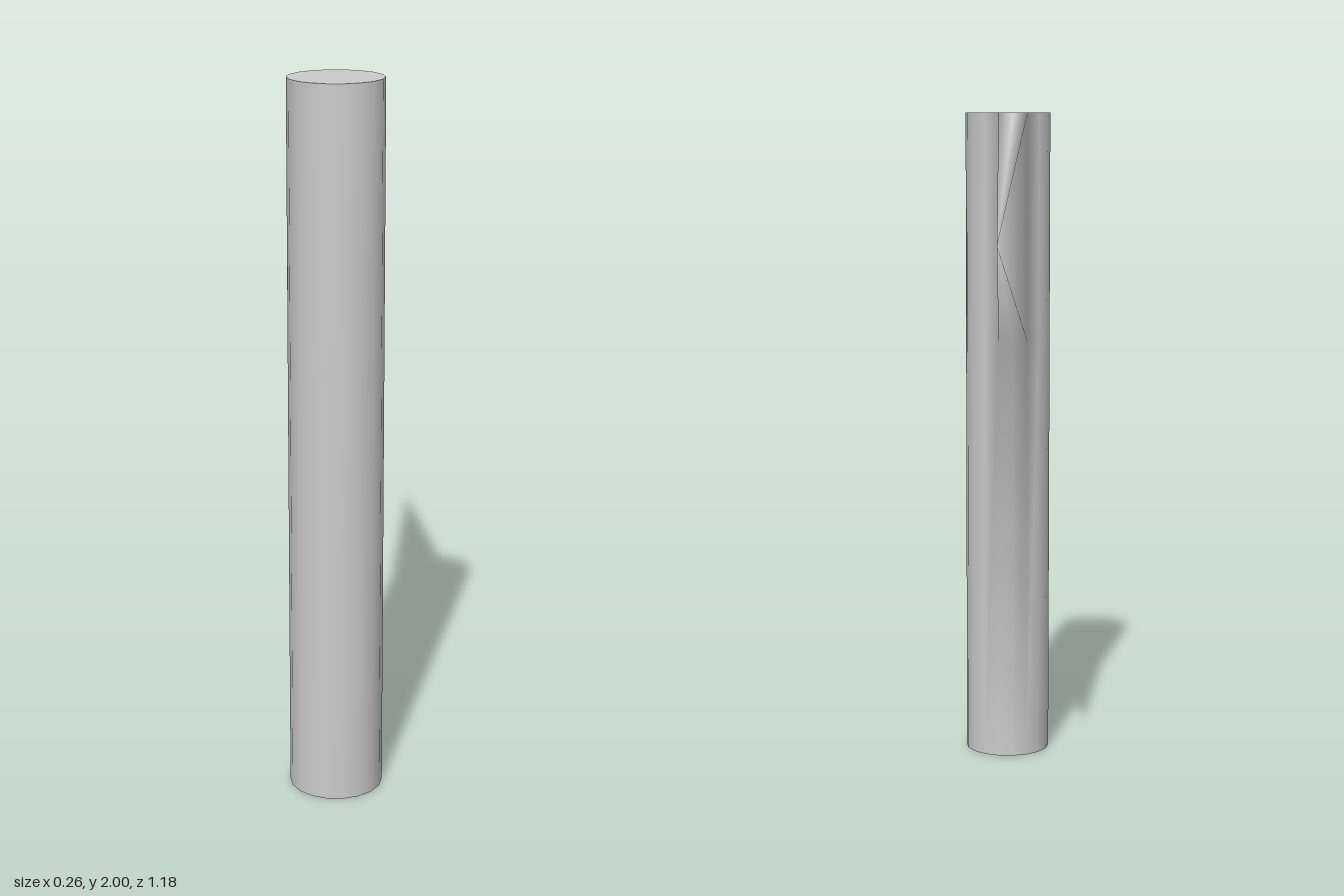
import * as THREE from 'three';

const SIDES = 18;
const RADIUS = 0.13;
const POLE_Z = 0.462;
const HEIGHT = 2;
const FIN_BOTTOM = 1.31;

export function createModel() {
  const group = new THREE.Group();
  const material = new THREE.MeshStandardMaterial({ color: 0xcccccc });

  // Pole wall in two rows; the pennant grows out of two facets of the upper row
  const positions = [];
  for (const y of [0, FIN_BOTTOM, HEIGHT]) {
    for (let i = 0; i < SIDES; i++) {
      const a = ((i + 0.5) / SIDES) * Math.PI * 2;
      positions.push(RADIUS * Math.sin(a), y, POLE_Z - RADIUS * Math.cos(a));
    }
  }
  const at = (row, i) => row * SIDES + (i % SIDES);
  const indices = [];
  for (let row = 0; row < 2; row++) {
    for (let i = 0; i < SIDES; i++) {
      if (row === 1 && i >= SIDES - 2) continue;
      const b0 = at(row, i), b1 = at(row, i + 1);
      const t0 = at(row + 1, i), t1 = at(row + 1, i + 1);
      indices.push(b1, b0, t0, b1, t0, t1);
    }
  }

  // Pennant: the open rim of the two facets drawn out to a single tip
  const tip = positions.length / 3;
  positions.push(-0.0226, 1.655, -0.59);
  const rim = [at(1, 18), at(1, 17), at(1, 16), at(2, 16), at(2, 17), at(2, 18)];
  rim.forEach((v, k) => indices.push(v, rim[(k + 1) % rim.length], tip));

  const geometry = new THREE.BufferGeometry();
  geometry.setAttribute('position', new THREE.Float32BufferAttribute(positions, 3));
  geometry.setIndex(indices);
  geometry.computeVertexNormals();
  const body = new THREE.Mesh(geometry, material);
  body.name = 'poleAndPennant';
  group.add(body);

  // Flat end caps
  for (const [name, y, turn] of [['topCap', HEIGHT, -1], ['bottomCap', 0, 1]]) {
    const cap = new THREE.Mesh(new THREE.CircleGeometry(RADIUS, SIDES), material);
    cap.name = name;
    cap.rotation.x = turn * Math.PI / 2;
    cap.position.set(0, y, POLE_Z);
    group.add(cap);
  }
  return group;
}
